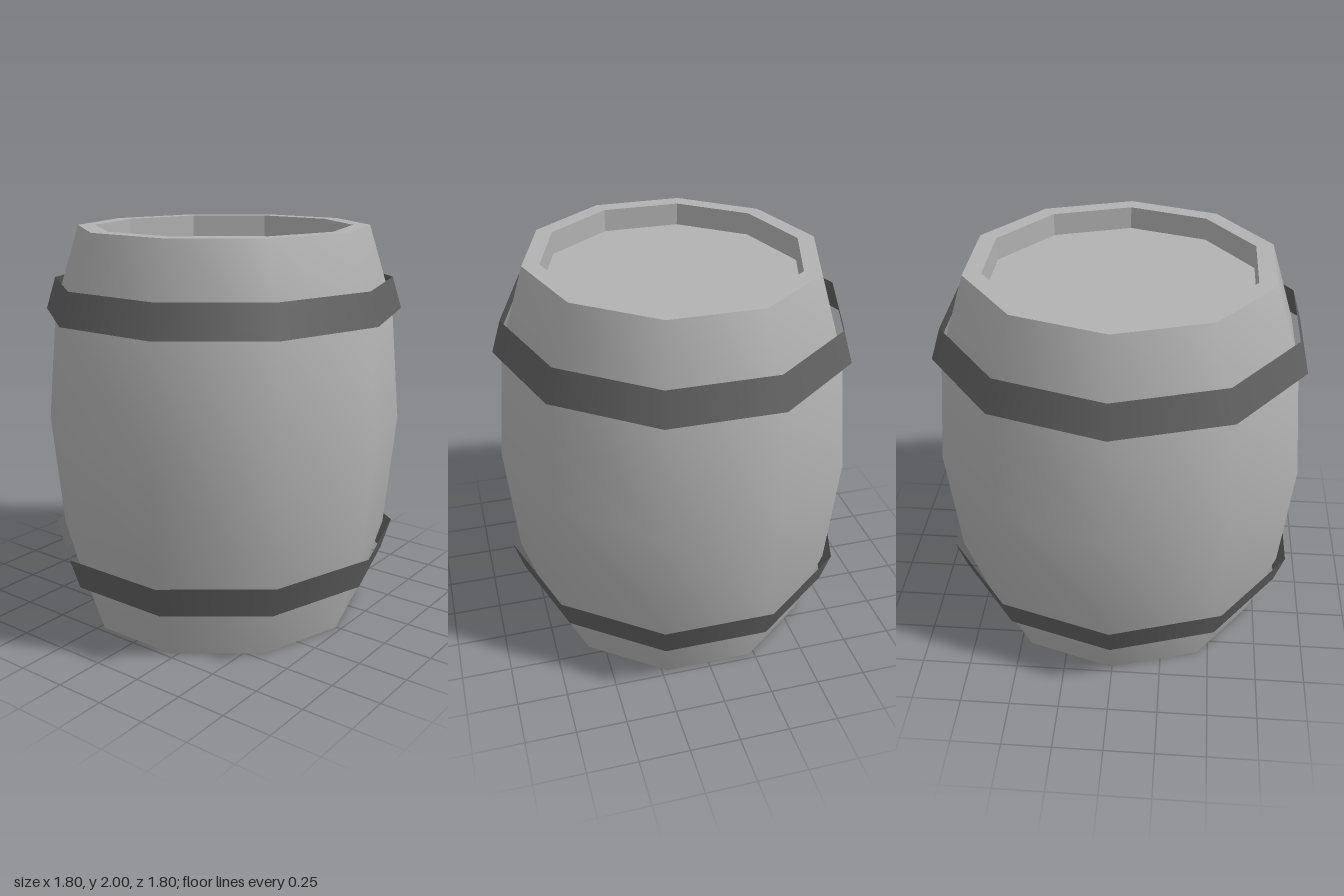
import * as THREE from 'three';

const SIDES = 10;
const WIDEN = 1 / Math.sin(Math.PI * 0.4); // makes the decagon as wide in x as in z

// Ten-sided ring turned from a profile of [radius, y] points
function turned(name, profile, material, faceted = false) {
  let geometry = new THREE.LatheGeometry(profile.map(([r, y]) => new THREE.Vector2(r, y)), SIDES);
  geometry.scale(WIDEN, 1, 1);
  if (faceted) {
    geometry = geometry.toNonIndexed();
    geometry.computeVertexNormals();
  }
  const mesh = new THREE.Mesh(geometry, material);
  mesh.name = name;
  return mesh;
}

export function createModel() {
  const wood = new THREE.MeshStandardMaterial({ color: 0xb2b2b2 });
  wood.name = 'pale grey wood';
  const iron = new THREE.MeshStandardMaterial({ color: 0x606060, side: THREE.DoubleSide });
  iron.name = 'dark grey iron';

  const barrel = new THREE.Group();
  barrel.name = 'barrel';
  barrel.add(
    // Bulging staves
    turned('staves', [[0.72, 0], [0.847, 0.41], [0.9, 1], [0.847, 1.59], [0.72, 2]], wood),
    // Closed bottom
    turned('bottom', [[0, 0], [0.72, 0]], wood, true),
    // Top rim, recess wall and sunken lid
    turned('rim', [[0.72, 2], [0.635, 2]], wood, true),
    turned('recessWall', [[0.635, 2], [0.635, 1.885]], wood, true),
    turned('lid', [[0.635, 1.885], [0, 1.885]], wood, true),
    // Thin hoops standing clear of the staves
    turned('upperHoop', [[0.892, 1.58], [0.843, 1.74]], iron),
    turned('lowerHoop', [[0.843, 0.26], [0.892, 0.42]], iron),
  );
  return barrel;
}
